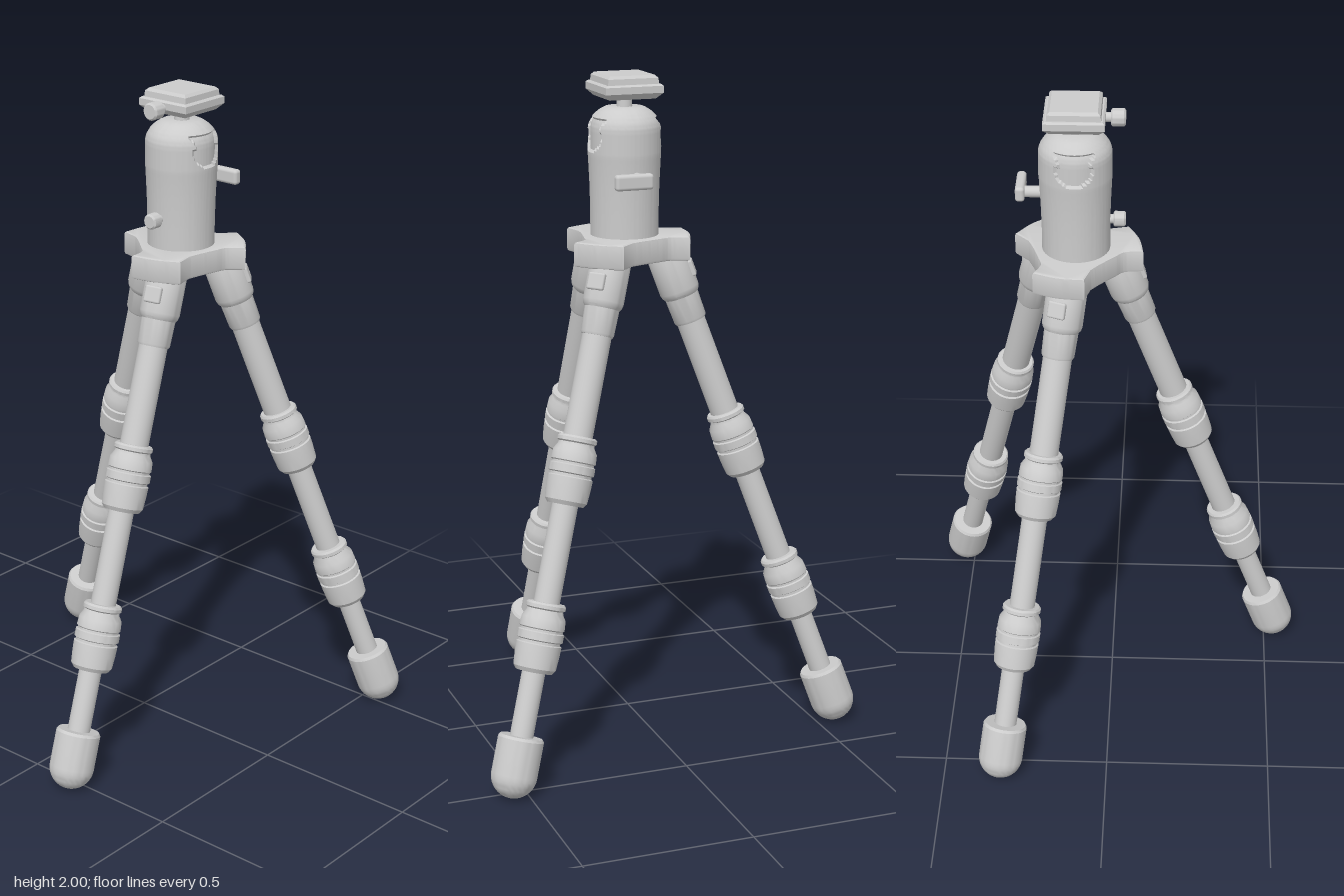
import * as THREE from 'three';
import { toCreasedNormals } from 'three/addons/utils/BufferGeometryUtils.js';
import { RoundedBoxGeometry } from 'three/addons/geometries/RoundedBoxGeometry.js';

const material = new THREE.MeshStandardMaterial({ color: 0xcccccc });

function add(parent, name, geometry, x = 0, y = 0, z = 0) {
  const mesh = new THREE.Mesh(geometry, material);
  mesh.name = name;
  mesh.position.set(x, y, z);
  parent.add(mesh);
  return mesh;
}

// profile: [radius, height] pairs from bottom to top
function lathe(profile, segments = 40) {
  const points = profile.map(([r, h]) => new THREE.Vector2(r, h));
  return toCreasedNormals(new THREE.LatheGeometry(points, segments), 0.55);
}

function polar(radius, degrees) {
  const a = THREE.MathUtils.degToRad(degrees);
  return new THREE.Vector2(radius * Math.cos(a), radius * Math.sin(a));
}

// twist lock around a leg tube, starting at height s
function lockProfile(s) {
  return [
    [0.03, 0], [0.053, 0], [0.062, 0.012], [0.065, 0.05], [0.066, 0.08],
    [0.061, 0.083], [0.061, 0.09], [0.067, 0.093], [0.067, 0.115], [0.062, 0.118],
    [0.062, 0.124], [0.066, 0.127], [0.064, 0.155], [0.054, 0.172], [0.052, 0.18],
    [0.058, 0.184], [0.058, 0.194], [0.053, 0.2], [0.03, 0.2],
  ].map(([r, h]) => [r, h + s]);
}

function makeLeg() {
  const leg = new THREE.Group();
  leg.name = 'leg';
  // rounded rubber foot
  const foot = [];
  for (let i = 0; i <= 10; i++) {
    const a = (i / 10) * Math.PI / 2;
    foot.push([0.067 * Math.sin(a), -0.067 * Math.cos(a)]);
  }
  foot.push([0.067, 0.104], [0.062, 0.112], [0.03, 0.112]);
  add(leg, 'foot', lathe(foot));
  // telescoping tubes
  for (const [name, r, from, to] of [
    ['lowerTube', 0.034, 0.08, 0.4], ['middleTube', 0.038, 0.4, 0.9], ['upperTube', 0.043, 0.9, 1.4],
  ]) add(leg, name, new THREE.CylinderGeometry(r, r, to - from, 32), 0, (from + to) / 2);
  add(leg, 'lowerLock', lathe(lockProfile(0.3)));
  add(leg, 'upperLock', lathe(lockProfile(0.785)));
  // sleeve and hinge under the hub
  add(leg, 'hingeSleeve', lathe([
    [0.03, 1.28], [0.046, 1.28], [0.049, 1.287], [0.051, 1.36], [0.057, 1.368],
    [0.06, 1.38], [0.06, 1.5], [0.05, 1.52], [0, 1.52],
  ]));
  add(leg, 'angleTab', new RoundedBoxGeometry(0.055, 0.05, 0.02, 2, 0.006), 0, 1.43, 0.055);
  return leg;
}

// three-armed hub plate with concave sides
function hubGeometry() {
  const shape = new THREE.Shape();
  for (let k = 0; k < 3; k++) {
    const at = (r, d) => polar(r, d + 120 * k);
    const start = at(0.194, 51);
    if (k === 0) shape.moveTo(start.x, start.y);
    else shape.lineTo(start.x, start.y);
    const tip = at(0.19, 74), corner = at(0.196, 96);
    shape.splineThru([tip, corner]);
    shape.splineThru([at(0.146, 101), at(0.128, 115), at(0.122, 131), at(0.126, 146), at(0.143, 161)]);
  }
  shape.closePath();
  const g = new THREE.ExtrudeGeometry(shape, {
    depth: 0.056, bevelEnabled: true, bevelThickness: 0.008, bevelSize: 0.006,
    bevelOffset: -0.003, bevelSegments: 2, curveSegments: 6,
  });
  g.rotateX(Math.PI / 2);
  return toCreasedNormals(g, 0.6);
}

// housing with a shallow U-shaped recess on each side of the dome
function housingGeometry() {
  const profile = [[0, 1.52], [0.1, 1.52], [0.1, 1.6], [0.102, 1.68], [0.106, 1.76], [0.107, 1.77]];
  for (let i = 1; i <= 10; i++) profile.push([0.107, 1.77 + i * 0.007]);
  for (let i = 1; i <= 12; i++) {
    const a = (i / 12) * 1.02;
    profile.push([0.107 * Math.cos(a), 1.84 + 0.076 * Math.sin(a)]);
  }
  profile.push([0, 1.905]);
  const g = new THREE.LatheGeometry(profile.map(([r, h]) => new THREE.Vector2(r, h)), 120);
  const p = g.attributes.position;
  for (let i = 0; i < p.count; i++) {
    const x = p.getX(i), y = p.getY(i), z = p.getZ(i);
    const inU = y > 1.835 ? Math.abs(z) < 0.048 + Math.max(0, y - 1.855) * 0.8
      : Math.hypot(z, y - 1.835) < 0.058;
    if (inU && y < 1.872 && Math.abs(x) > 0.05) {
      p.setX(i, x * 0.92);
      p.setZ(i, z * 0.92);
    }
  }
  return toCreasedNormals(g, 0.5);
}

// four-sided plate whose half-width follows the profile
function squarePlate(profile) {
  const g = new THREE.LatheGeometry(
    profile.map(([w, h]) => new THREE.Vector2(w * Math.SQRT2, h)), 4, Math.PI / 4);
  return toCreasedNormals(g, 0.3);
}

function makeKnob(name, radius, length, stem) {
  const knob = new THREE.Group();
  knob.name = name;
  add(knob, 'stem', new THREE.CylinderGeometry(0.014, 0.014, stem, 20), 0, -stem / 2);
  add(knob, 'grip', lathe([
    [0, 0], [radius - 0.004, 0], [radius, 0.004], [radius, length - 0.005],
    [radius - 0.005, length], [0, length],
  ], 28));
  knob.rotation.x = Math.PI / 2;
  return knob;
}

export function createModel() {
  const model = new THREE.Group();
  model.name = 'tripod';
  const tripod = new THREE.Group();
  tripod.name = 'tripodAssembly';
  tripod.position.set(0.05, 0, -0.108);
  model.add(tripod);

  // splayed legs
  const f = polar(0.642, 79.7), t = polar(0.113, 67.5);
  const foot = new THREE.Vector3(f.x, 0.067, f.y);
  const axis = new THREE.Vector3(t.x, 1.5, t.y).sub(foot).normalize();
  const out = new THREE.Vector3(f.x - t.x, 0, f.y - t.y);
  const side = new THREE.Vector3().crossVectors(axis, out).normalize();
  const front = new THREE.Vector3().crossVectors(side, axis);
  for (let k = 0; k < 3; k++) {
    const pivot = new THREE.Group();
    pivot.name = 'legPivot';
    pivot.rotation.y = -k * 2 * Math.PI / 3;
    const leg = makeLeg();
    leg.position.copy(foot);
    leg.quaternion.setFromRotationMatrix(new THREE.Matrix4().makeBasis(side, axis, front));
    pivot.add(leg);
    tripod.add(pivot);
  }

  add(tripod, 'hub', hubGeometry(), 0, 1.524, 0);
  add(tripod, 'headHousing', housingGeometry());
  add(tripod, 'ball', new THREE.SphereGeometry(0.062, 32, 20), 0, 1.848, 0);
  add(tripod, 'neck', new THREE.CylinderGeometry(0.02, 0.024, 0.06, 24), 0, 1.92, 0);

  // clamp and quick release plate
  add(tripod, 'clamp', squarePlate([[0, 1.932], [0.07, 1.932], [0.088, 1.95], [0.088, 1.97], [0.082, 1.975], [0, 1.975]]));
  add(tripod, 'mountPlate', squarePlate([[0, 1.97], [0.078, 1.97], [0.076, 1.992], [0.068, 2], [0, 2]]));

  // front knobs
  const clampKnob = makeKnob('clampKnob', 0.026, 0.042, 0.05);
  clampKnob.position.set(0, 1.953, 0.103);
  const panKnob = makeKnob('panKnob', 0.023, 0.036, 0.06);
  panKnob.position.set(0, 1.625, 0.11);
  tripod.add(clampKnob, panKnob);

  // rear locking lever
  const stem = add(tripod, 'leverStem', new THREE.CylinderGeometry(0.017, 0.017, 0.08, 20), 0, 1.71, -0.12);
  stem.rotation.x = Math.PI / 2;
  add(tripod, 'leverHandle', new RoundedBoxGeometry(0.115, 0.046, 0.028, 3, 0.01), 0.03, 1.71, -0.161);
  return model;
}
